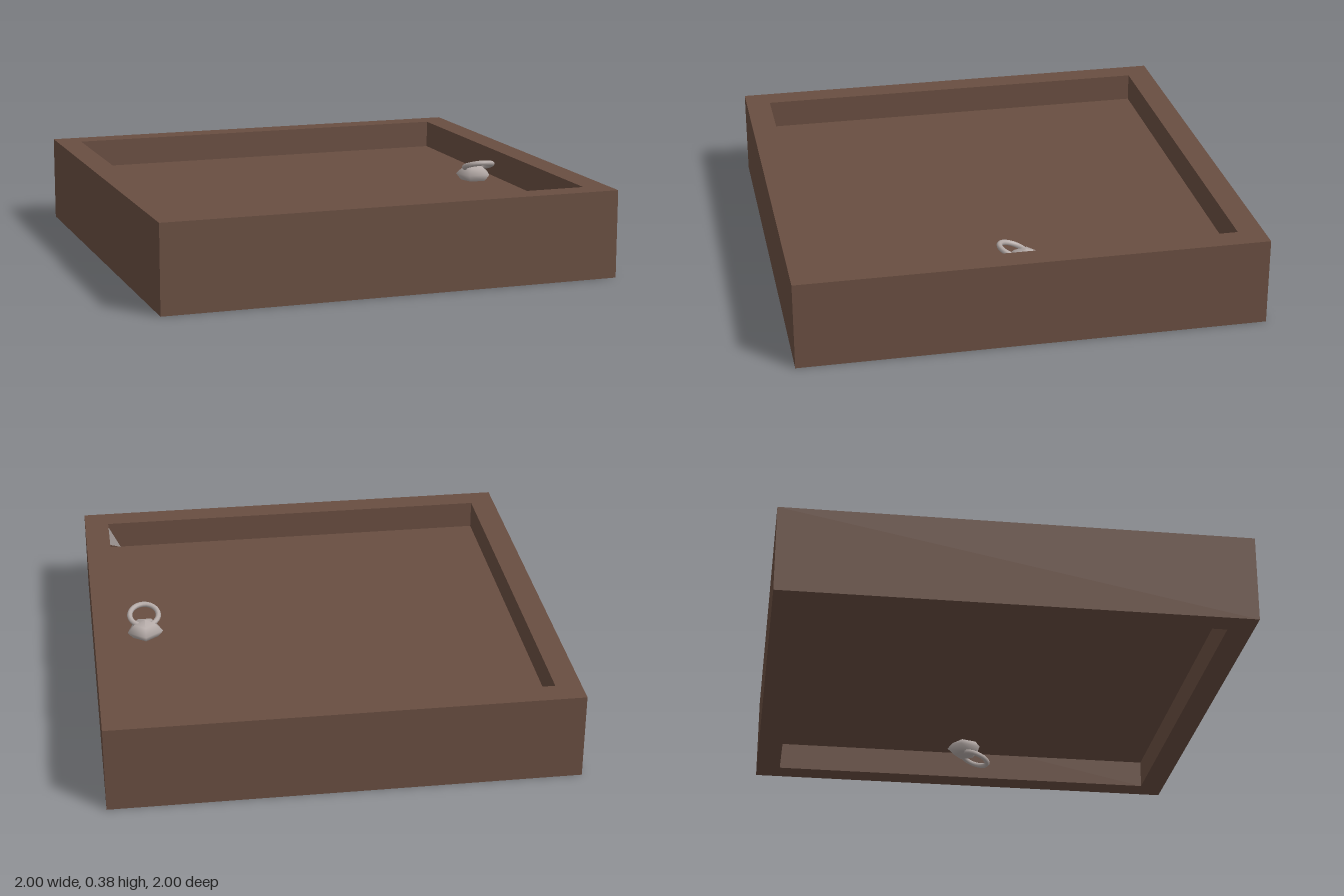
import * as THREE from 'three';

const wood = new THREE.MeshStandardMaterial({ color: 0x694e41 });
wood.name = 'brown wood';
const metal = new THREE.MeshStandardMaterial({ color: 0xb5aba8, side: THREE.DoubleSide });
metal.name = 'grey metal';

const HEIGHT = 0.38, INNER = 0.89, PANEL = 0.13;

function add(parent, name, geometry, material, x = 0, y = 0, z = 0) {
  const mesh = new THREE.Mesh(geometry, material);
  mesh.name = name;
  mesh.position.set(x, y, z);
  parent.add(mesh);
  return mesh;
}

// Square ring outline extruded upwards
function frameGeometry() {
  const square = (Type, r) => {
    const s = new Type();
    s.moveTo(-r, -r).lineTo(r, -r).lineTo(r, r).lineTo(-r, r).closePath();
    return s;
  };
  const shape = square(THREE.Shape, 1);
  shape.holes.push(square(THREE.Path, INNER));
  return new THREE.ExtrudeGeometry(shape, { depth: HEIGHT, bevelEnabled: false }).rotateX(-Math.PI / 2);
}

// Five-sided boss with a tilted pull ring, standing on y = 0
function ringHandle(name) {
  const handle = new THREE.Group();
  handle.name = name;
  const profile = [[0.06, 0], [0.083, 0.03], [0.05, 0.06], [0, 0.075]].map(([r, y]) => new THREE.Vector2(r, y));
  add(handle, 'handleBoss', new THREE.LatheGeometry(profile, 5, Math.PI), metal, 0, 0, -0.005);
  const ring = add(handle, 'pullRing', new THREE.TorusGeometry(0.064, 0.012, 8, 24), metal, 0, 0.075, 0.045);
  ring.rotation.x = Math.PI / 2 - 0.35; // free end raised
  return handle;
}

export function createModel() {
  const model = new THREE.Group();
  model.name = 'trapdoor';

  add(model, 'frame', frameGeometry(), wood);
  add(model, 'panel', new THREE.BoxGeometry(2 * INNER, PANEL, 2 * INNER), wood, 0, HEIGHT / 2, 0);

  // Matching handles on the upper and lower faces
  for (const side of [1, -1]) {
    const handle = ringHandle(side > 0 ? 'upperHandle' : 'lowerHandle');
    handle.position.set(0.77, HEIGHT / 2 + side * PANEL / 2, 0);
    if (side < 0) handle.rotation.z = Math.PI;
    model.add(handle);
  }

  // Small triangular metal plate in the recess corner
  const plate = new THREE.Shape();
  plate.moveTo(INNER, 0.365).lineTo(INNER - 0.055, 0.255).lineTo(INNER, 0.27).closePath();
  add(model, 'cornerPlate', new THREE.ShapeGeometry(plate), metal, 0, 0, INNER - 0.003);

  return model;
}
